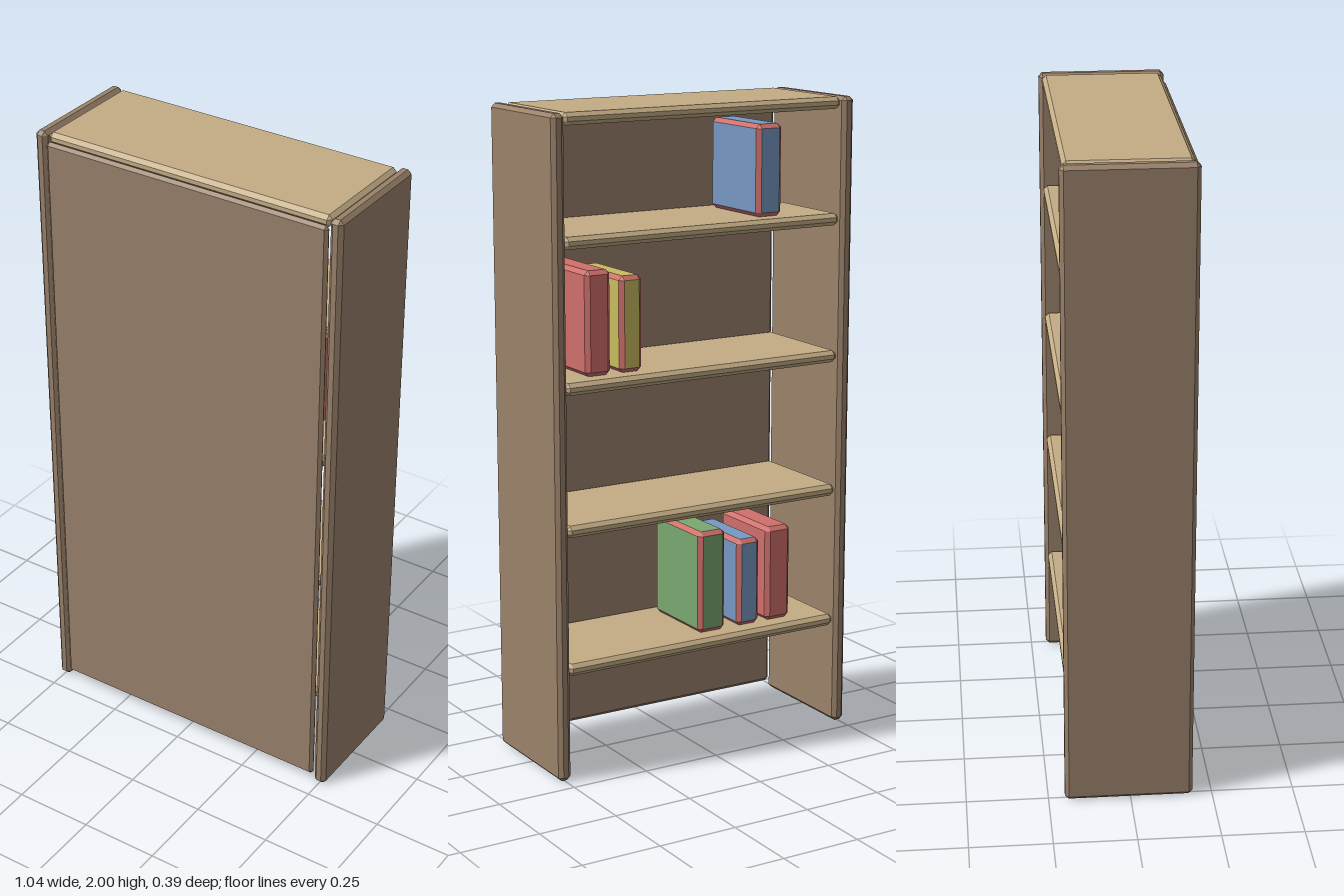
import * as THREE from 'three';
import { ConvexGeometry } from 'three/addons/geometries/ConvexGeometry.js';

const paint = (color) => new THREE.MeshStandardMaterial({ color, flatShading: true });
const panelWood = paint(0x9b826b);
const shelfWood = paint(0xc4ad85);
const red = paint(0xd0706c);
const blue = paint(0x7799c4);
const green = paint(0x7aa870);
const yellow = paint(0xc9bb60);

// Box with chamfered edges: each face is inset by the bevel along the other two axes.
function chamferBox(min, max, bevel) {
  const c = min.map((v, i) => (v + max[i]) / 2);
  const h = min.map((v, i) => (max[i] - v) / 2);
  const points = [];
  for (let axis = 0; axis < 3; axis++)
    for (const sx of [-1, 1]) for (const sy of [-1, 1]) for (const sz of [-1, 1]) {
      const p = [sx, sy, sz].map((s, i) => c[i] + s * (i === axis ? h[i] : h[i] - bevel));
      points.push(new THREE.Vector3(...p));
    }
  return new ConvexGeometry(points);
}

// Keep either the flat faces or the chamfers of a chamfered box.
function pick(geometry, wantFlat) {
  const pos = geometry.attributes.position;
  const kept = [];
  const t = new THREE.Triangle();
  const n = new THREE.Vector3();
  for (let i = 0; i < pos.count; i += 3) {
    t.setFromAttributeAndIndices(pos, i, i + 1, i + 2);
    t.getNormal(n);
    const flat = Math.max(Math.abs(n.x), Math.abs(n.y), Math.abs(n.z)) > 0.99;
    if (flat === wantFlat) kept.push(t.a.clone(), t.b.clone(), t.c.clone());
  }
  const out = new THREE.BufferGeometry().setFromPoints(kept);
  out.computeVertexNormals();
  return out;
}

function addMesh(parent, name, geometry, material) {
  const mesh = new THREE.Mesh(geometry, material);
  mesh.name = name;
  parent.add(mesh);
}

export function createModel() {
  const model = new THREE.Group();
  model.name = 'bookcase';

  // Side panels
  addMesh(model, 'leftSidePanel', chamferBox([0.479, 0, -0.2], [0.52, 2, 0.19], 0.012), panelWood);
  addMesh(model, 'rightSidePanel', chamferBox([-0.52, 0, -0.2], [-0.479, 2, 0.19], 0.012), panelWood);

  // Closing panel; the shelves open towards -z
  addMesh(model, 'closingPanel', chamferBox([-0.477, 0.027, 0.174], [0.477, 1.975, 0.195], 0.0095), panelWood);

  // Shelves, given by the height of their upper face
  const shelfTops = [0.36, 0.788, 1.217, 1.645, 2];
  shelfTops.forEach((y, i) => {
    const name = i === 4 ? 'topBoard' : `shelf${i + 1}`;
    addMesh(model, name, chamferBox([-0.478, y - 0.037, -0.19], [0.478, y, 0.18], 0.012), shelfWood);
  });

  // Books: shelf index, x range, height, cover; chamfers are always red
  const books = [
    ['greenBook', 0, -0.105, -0.008, 0.325, green],
    ['smallBlueBook', 0, -0.231, -0.15, 0.28, blue],
    ['lowerRedBook', 0, -0.346, -0.256, 0.305, red],
    ['upperRedBook', 2, 0.298, 0.382, 0.315, red],
    ['yellowBook', 2, 0.191, 0.267, 0.29, yellow],
    ['upperBlueBook', 3, -0.301, -0.211, 0.28, blue],
  ];
  for (const [name, shelf, x0, x1, height, cover] of books) {
    const y = shelfTops[shelf];
    const box = chamferBox([x0, y, -0.139], [x1, y + height, 0.13], 0.013);
    const book = new THREE.Group();
    book.name = name;
    addMesh(book, 'cover', pick(box, true), cover);
    addMesh(book, 'coverEdges', pick(box, false), red);
    model.add(book);
  }

  return model;
}
